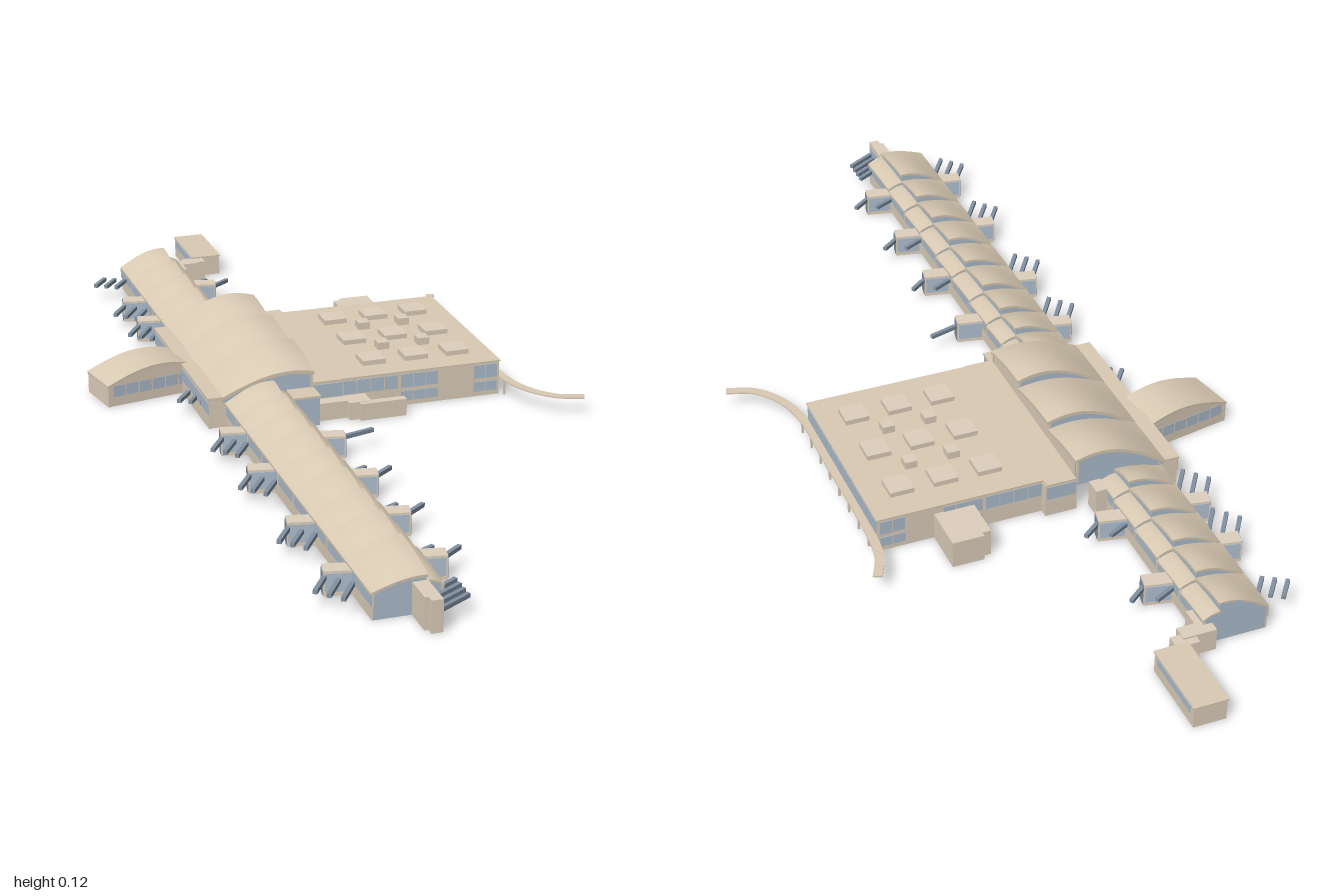
import * as THREE from 'three';

const flat = (name, color) => {
  const m = new THREE.MeshStandardMaterial({ color });
  m.name = name;
  return m;
};

export function createModel() {
  const stone = flat('stone', 0xdfd0bc);
  const roofing = flat('roofing', 0xdacbb4);
  const glass = flat('glass', 0xafbfcf);
  const slate = flat('slate', 0x8292a3);
  const model = new THREE.Group();
  model.name = 'airportTerminal';

  const add = (name, geo, mat, parent = model) => {
    const m = new THREE.Mesh(geo, mat);
    m.name = name;
    parent.add(m);
    return m;
  };
  const box = (name, mat, x0, x1, y0, y1, z0, z1, parent) => {
    const g = new THREE.BoxGeometry(x1 - x0, y1 - y0, z1 - z0);
    g.translate((x0 + x1) / 2, (y0 + y1) / 2, (z0 + z1) / 2);
    return add(name, g, mat, parent);
  };
  // Slab from z0 to z1 whose top and bottom heights follow functions of (u across x, t along z)
  const arched = (name, mat, x0, x1, z0, z1, top, bottom, parent) => {
    const g = new THREE.BoxGeometry(1, 1, 1, 14, 1, 6);
    const p = g.attributes.position;
    for (let i = 0; i < p.count; i++) {
      const u = p.getX(i) + 0.5, t = p.getZ(i) + 0.5;
      const y = p.getY(i) > 0 ? top(u, t) : bottom(u, t);
      p.setXYZ(i, x0 + (x1 - x0) * u, y, z0 + (z1 - z0) * t);
    }
    g.computeVertexNormals();
    return add(name, g, mat, parent);
  };
  const roof = (name, x0, x1, z0, z1, f, thick, parent) =>
    arched(name, roofing, x0, x1, z0, z1, f, (u, t) => f(u, t) - thick, parent);

  // Roof heights: each bay bows from low at its front (t = 1) to high at its back (t = 0)
  const bayHigh = (u, t) => 0.05 + (0.036 - 0.016 * t * t) * Math.sin(u * 1.75);
  const bayLow = (u, t) => 0.066 - 0.012 * u * u - 0.006 * t * t;
  const hallRoof = (u, t) => 0.062 + (0.06 - 0.02 * t * t) * Math.sin(u * 2.13);

  // Concourses, one bay at a time
  const bays = (zs) => {
    for (let i = 0; i < zs.length - 1; i++) {
      const a = zs[i], b = zs[i + 1];
      roof('concourseRoof', -0.242, -0.142, a, b, bayHigh, 0.005);
      roof('concourseSideRoof', -0.145, -0.112, a, b, bayLow, 0.004);
      arched('bayGlazing', glass, -0.238, -0.145, a + 0.003, a + 0.006,
        (u) => bayHigh(u, 0) - 0.004, (u) => bayHigh(u, 1) - 0.004);
      arched('sideBayGlazing', glass, -0.145, -0.115, a + 0.003, a + 0.006,
        (u) => bayLow(u, 0) - 0.003, (u) => bayLow(u, 1) - 0.003);
      // Clerestory between the high and low roofs
      arched('clerestory', glass, -0.149, -0.145, a, b,
        (u, t) => bayHigh(1, t) - 0.003, () => 0.056);
      // Mullions on both long walls
      for (const x of [-0.2425, -0.1155]) box('mullion', stone, x, x + 0.003, 0.026, 0.05, a, a + 0.004);
    }
    const a = zs[0], b = zs[zs.length - 1];
    box('concourseWall', stone, -0.24, -0.236, 0, 0.051, a, b);
    box('concourseWindows', glass, -0.2415, -0.24, 0.026, 0.046, a, b);
    box('concourseWall', stone, -0.119, -0.115, 0, 0.051, a, b);
    box('concourseWindows', glass, -0.115, -0.1135, 0.028, 0.05, a, b);
  };
  // Glazed gable at an open end of a concourse
  const gable = (z, t) => {
    arched('endGlazing', glass, -0.238, -0.145, z, z + 0.004, (u) => bayHigh(u, t) - 0.002, () => 0);
    arched('sideEndGlazing', glass, -0.145, -0.115, z, z + 0.004, (u) => bayLow(u, t) - 0.002, () => 0);
  };
  bays([-0.81, -0.715, -0.62, -0.525, -0.43, -0.365]);
  bays([0.05, 0.125, 0.205, 0.3, 0.4, 0.495, 0.595, 0.69, 0.79, 0.925]);
  gable(-0.81, 0);
  gable(0.921, 1);

  // Main hall with three stepped arched roofs
  const steps = [-0.368, -0.235, -0.087, 0.052];
  for (let i = 0; i < 3; i++) {
    const a = steps[i], b = steps[i + 1];
    roof('hallRoof', -0.25, -0.06, a, b, hallRoof, 0.007);
    arched('hallStepGlazing', glass, -0.245, -0.064, a + 0.004, a + 0.007,
      (u) => hallRoof(u, 0) - 0.005, (u) => hallRoof(u, 1) - 0.006);
    arched('hallEastWall', stone, -0.067, -0.063, a, b,
      (u, t) => hallRoof(1, t) - 0.004, () => 0.06);
  }
  for (const [z, t] of [[-0.364, 0], [0.044, 1]]) {
    arched('hallEndGlazing', glass, -0.245, -0.062, z, z + 0.004, (u) => hallRoof(u, t) - 0.004, () => 0.052);
    box('hallEndWall', stone, -0.275, -0.236, 0, 0.06, z, z + 0.004);
  }
  box('hallWestRoof', roofing, -0.277, -0.245, 0.058, 0.064, -0.368, 0.052);
  box('hallWestWall', stone, -0.275, -0.271, 0, 0.058, -0.365, 0.05);
  box('hallWestWindows', glass, -0.2765, -0.275, 0.03, 0.054, -0.365, 0.05);

  // West wing, turned slightly from the hall
  const wing = new THREE.Group();
  wing.name = 'westWing';
  wing.position.set(-0.445, 0, -0.168);
  wing.rotation.y = 0.19;
  model.add(wing);
  const wingRoof = (u) => 0.045 + 0.028 * Math.sin(u * 2.6);
  roof('wingRoof', 0, 0.19, -0.05, 0.05, wingRoof, 0.005, wing);
  box('wingEndWall', stone, 0.001, 0.005, 0, 0.042, -0.049, 0.049, wing);
  for (const z of [-0.048, 0.044]) {
    arched('wingWall', stone, 0.001, 0.19, z, z + 0.004, (u) => wingRoof(u) - 0.004, () => 0, wing);
    for (let x = 0.012; x < 0.17; x += 0.029)
      box('wingWindow', glass, x, x + 0.026, 0.02, 0.043, z - 0.001, z + 0.005, wing);
  }

  // Landside block
  box('landsideBlock', stone, 0, 0.33, 0, 0.07, -0.35, 0.05);
  box('landsideLink', stone, -0.064, 0, 0, 0.07, -0.368, 0.052);
  box('landsideRoof', roofing, -0.002, 0.332, 0.07, 0.073, -0.352, 0.052);
  box('landsideLinkRoof', roofing, -0.062, -0.002, 0.07, 0.073, -0.37, 0.054);
  for (const [x0, x1, y0, y1] of [[0, 0.115, 0.038, 0.066], [0.12, 0.2, 0.038, 0.066],
    [0.275, 0.326, 0.038, 0.066], [0.12, 0.2, 0.01, 0.03], [0.275, 0.326, 0.01, 0.03]]) {
    const n = Math.round((x1 - x0) / 0.027), w = (x1 - x0) / n;
    for (let i = 0; i < n; i++)
      for (const z of [-0.3515, 0.0485])
        box('blockWindow', glass, x0 + i * w + 0.001, x0 + (i + 1) * w - 0.001, y0, y1, z, z + 0.003);
  }
  for (const z of [-0.3695, 0.0505]) box('linkWindows', glass, -0.062, -0.002, 0.038, 0.066, z, z + 0.003);
  for (let i = 0; i < 14; i++) {
    const z = -0.345 + i * 0.028;
    box('kerbsideWindow', glass, 0.329, 0.3315, 0.038, 0.066, z, z + 0.026);
  }

  // Rooftop skylights
  for (const z of [-0.272, -0.148, -0.025])
    for (const x of [0.083, 0.172, 0.26]) box('skylight', stone, x - 0.024, x + 0.024, 0.072, 0.083, z - 0.024, z + 0.024);
  for (const z of [-0.212, -0.09])
    for (const x of [0.129, 0.215]) box('smallSkylight', stone, x - 0.012, x + 0.012, 0.072, 0.088, z - 0.013, z + 0.013);

  // Annexes
  box('backAnnex', stone, 0.138, 0.218, 0, 0.055, -0.435, -0.35);
  box('backAnnexPorch', stone, 0.155, 0.218, 0, 0.055, -0.445, -0.435);
  box('frontAnnex', stone, -0.06, 0.0, 0, 0.036, 0.05, 0.078);
  box('frontAnnexWing', stone, 0, 0.045, 0, 0.036, 0.05, 0.092);
  box('frontAnnexEnd', stone, 0.02, 0.115, 0, 0.035, 0.085, 0.102);
  box('frontCorner', glass, -0.113, -0.063, 0, 0.058, 0.05, 0.096);
  box('frontCornerRoof', roofing, -0.117, -0.061, 0.058, 0.062, 0.048, 0.098);
  box('backCorner', stone, -0.113, -0.09, 0, 0.055, -0.4, -0.365);
  box('backLink', stone, -0.115, -0.065, 0, 0.045, -0.83, -0.8);
  box('backLinkStep', stone, -0.113, -0.1, 0, 0.045, -0.8, -0.765);
  box('backLinkCorner', stone, -0.13, -0.115, 0, 0.045, -0.83, -0.81);
  box('backBuilding', stone, -0.067, -0.004, 0, 0.042, -0.998, -0.842);
  box('backBuildingRoof', roofing, -0.069, -0.002, 0.042, 0.045, -1, -0.84);
  for (const x of [-0.0685, -0.005]) box('backBuildingWindows', glass, x, x + 0.0025, 0.024, 0.039, -0.985, -0.855);
  box('backBuildingLink', stone, -0.09, -0.045, 0, 0.042, -0.845, -0.815);

  // Boarding gates: a small house with slanted bridges beyond it
  const bridge = (x, z, dx, dz) => {
    const g = new THREE.BoxGeometry(Math.hypot(dx, dz), 0.008, 0.008);
    const m = add('boardingBridge', g, slate);
    m.position.set(x + dx / 2, 0.035, z + dz / 2);
    m.rotation.y = -Math.atan2(dz, dx);
  };
  const house = (x, z) => {
    const g = new THREE.Group();
    g.name = 'gateHouse';
    g.position.set(x, 0, z);
    g.rotation.y = -0.2;
    box('gateWalls', stone, -0.027, 0.027, 0, 0.046, -0.016, 0.016, g);
    for (const s of [-0.0175, 0.0155]) box('gateGlazing', glass, -0.024, 0.024, 0.008, 0.042, s, s + 0.002, g);
    for (const s of [-0.0285, 0.0265]) box('gateDoor', slate, s, s + 0.002, 0.002, 0.043, -0.012, 0.012, g);
    model.add(g);
  };
  for (const z of [-0.605, -0.475, 0.175, 0.36, 0.6, 0.805]) {
    house(-0.259, z);
    for (let i = 0; i < 3; i++) bridge(-0.285 + i * 0.018, z + 0.008 + i * 0.02, -0.033, 0.05);
  }
  for (const z of [-0.77, -0.05])
    for (let i = 0; i < 3; i++) bridge(-0.285 + i * 0.02, z - 0.015 + i * 0.012, -0.03, 0.04);
  for (const z of [-0.665, -0.465, 0.44, 0.615, 0.8]) {
    house(-0.091, z);
    bridge(-0.07, z + 0.004, 0.042, -0.032);
    bridge(-0.112, z - 0.022, 0.04, -0.02);
  }
  house(-0.091, 0.25);
  bridge(-0.07, 0.25, 0.07, -0.02);

  // Front end gate
  box('frontGate', stone, -0.17, -0.142, 0, 0.06, 0.925, 0.985);
  box('frontGateTip', stone, -0.163, -0.142, 0, 0.06, 0.985, 1);
  box('frontGateWindow', glass, -0.1425, -0.1405, 0.02, 0.05, 0.935, 0.99);
  for (let i = 0; i < 4; i++) bridge(-0.14, 0.925 + i * 0.02, 0.06, -0.035);

  // Raised kerbside road, bent along a curve and carried on posts
  const path = new THREE.CatmullRomCurve3([[0.37, -0.46], [0.348, -0.41], [0.339, -0.33], [0.339, -0.1],
    [0.339, 0.05], [0.358, 0.125], [0.4, 0.18], [0.452, 0.2]].map(([x, z]) => new THREE.Vector3(x, 0, z)));
  const road = new THREE.BoxGeometry(0.018, 0.003, 1, 1, 1, 40);
  const p = road.attributes.position;
  for (let i = 0; i < p.count; i++) {
    const t = p.getZ(i) + 0.5, c = path.getPointAt(t), d = path.getTangentAt(t), o = p.getX(i);
    p.setXYZ(i, c.x + d.z * o, 0.035 + p.getY(i), c.z - d.x * o);
  }
  road.computeVertexNormals();
  add('raisedRoad', road, roofing);
  for (let z = -0.33; z < 0.06; z += 0.055) box('roadPost', stone, 0.338, 0.342, 0, 0.034, z, z + 0.004);

  return model;
}
